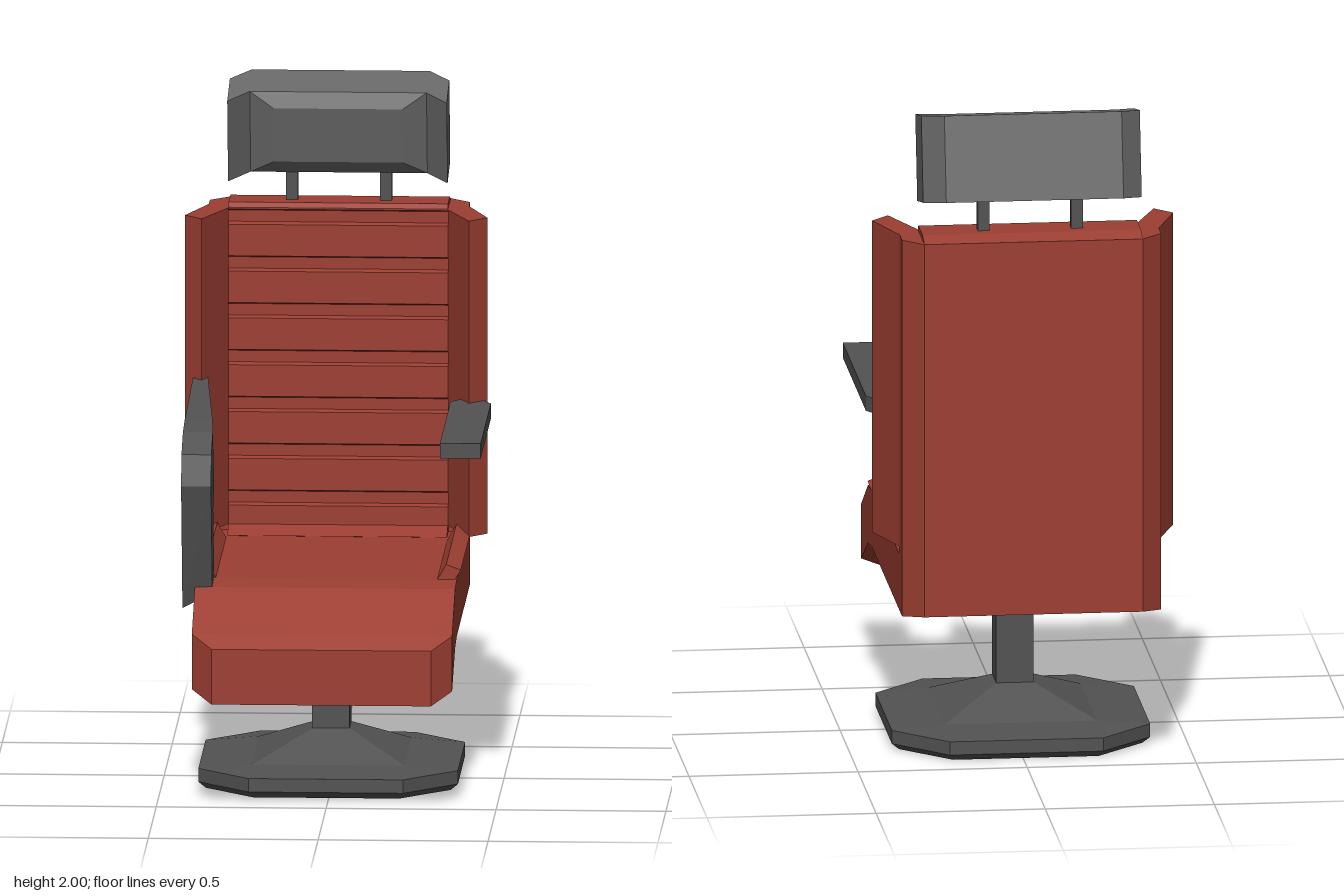
import * as THREE from 'three';

const red = new THREE.MeshStandardMaterial({ color: 0x9c3e32, flatShading: true });
const dark = new THREE.MeshStandardMaterial({ color: 0x525252, flatShading: true });
const grey = new THREE.MeshStandardMaterial({ color: 0x696969, flatShading: true });
const CX = -0.008; // centre line of the seat

function part(parent, name, geometry, material, x = 0, y = 0, z = 0) {
  const mesh = new THREE.Mesh(geometry, material);
  mesh.name = name;
  mesh.position.set(x, y, z);
  parent.add(mesh);
  return mesh;
}

// Joins convex rings of points, counter-clockwise as seen from the end of travel
function loft(rings) {
  const pos = [];
  const tri = (a, b, c) => pos.push(...a, ...b, ...c);
  const n = rings[0].length;
  for (let i = 0; i < rings.length - 1; i++) {
    for (let j = 0; j < n; j++) {
      const k = (j + 1) % n;
      const [a, b, c, d] = [rings[i][j], rings[i][k], rings[i + 1][k], rings[i + 1][j]];
      tri(a, b, c);
      tri(a, c, d);
    }
  }
  const first = rings[0], last = rings[rings.length - 1];
  for (let j = 1; j < n - 1; j++) {
    tri(first[0], first[j + 1], first[j]);
    tri(last[0], last[j], last[j + 1]);
  }
  const g = new THREE.BufferGeometry();
  g.setAttribute('position', new THREE.Float32BufferAttribute(pos, 3));
  g.computeVertexNormals();
  return g;
}

function extrude(points, depth) {
  const shape = new THREE.Shape(points.map(([x, y]) => new THREE.Vector2(x, y)));
  return new THREE.ExtrudeGeometry(shape, { depth, bevelEnabled: false });
}

// Upright prism over a plan outline of [x, z] points
const planPrism = (points, y0, y1) =>
  extrude(points.map(([x, z]) => [x, -z]), y1 - y0).rotateX(-Math.PI / 2).translate(0, y0, 0);

// Prism across x from a side outline of [z, y] points
const sidePrism = (points, width) =>
  extrude(points, width).rotateY(-Math.PI / 2).translate(width / 2, 0, 0);

const rect = (w, b, t, z) => [[-w, b, z], [w, b, z], [w, t, z], [-w, t, z]];

export function createModel() {
  const chair = new THREE.Group();
  chair.name = 'swivelArmchair';

  // Octagonal foot rising to a square column
  const octagon = (y, h, c) => [[c, h], [h, c], [h, -c], [c, -h], [-c, -h], [-h, -c], [-h, c], [-c, h]]
    .map(([x, z]) => [x, y, z]);
  part(chair, 'foot', loft([
    octagon(0, 0.36, 0.215), octagon(0.02, 0.382, 0.227), octagon(0.06, 0.382, 0.227),
  ]), dark, CX, 0, -0.025);
  part(chair, 'footTop', loft([
    octagon(0.06, 0.382, 0.227), octagon(0.073, 0.225, 0.224), octagon(0.152, 0.056, 0.055),
  ]), dark, CX, 0, -0.025);
  part(chair, 'column', new THREE.BoxGeometry(0.11, 0.35, 0.11), dark, CX, 0.315, -0.025);

  // Seat with sloping front lip and chamfered corners
  part(chair, 'seat', loft([
    rect(0.323, 0.49, 0.64, -0.605), rect(0.383, 0.48, 0.65, -0.545), rect(0.383, 0.48, 0.65, 0.3),
    rect(0.383, 0.465, 0.64, 0.4), rect(0.383, 0.37, 0.535, 0.59), rect(0.323, 0.335, 0.5, 0.645),
  ]), red, CX);

  // Back shell
  part(chair, 'backShell', planPrism([
    [-0.323, -0.605], [0.323, -0.605], [0.383, -0.545], [0.383, -0.46], [-0.383, -0.46], [-0.383, -0.545],
  ], 0.49, 1.62), red, CX);

  // Ribbed back cushion: flat pads parted by shallow grooves
  const ribs = [[-0.6, 0.6], [-0.355, 0.652], [-0.42, 0.675]];
  for (let i = 6; i >= 0; i--) {
    const y = 1.594 - i * 0.14;
    ribs.push([-0.42, y - 0.023], [-0.438, y - 0.017], [-0.438, y + 0.017], [-0.42, y + 0.023]);
  }
  ribs.push([-0.42, 1.622], [-0.435, 1.635], [-0.55, 1.635], [-0.6, 1.62]);
  part(chair, 'ribbedBackCushion', sidePrism(ribs, 0.646), red, CX);

  // Back wings and seat bolsters, one per side
  for (const s of [-1, 1]) {
    const side = s > 0 ? 'left' : 'right';
    const flip = (pts) => pts.map(([x, y]) => [s * x, y]);
    part(chair, side + 'BackWing', planPrism(flip([
      [0.323, -0.5], [0.383, -0.48], [0.445, -0.3], [0.393, -0.243], [0.323, -0.42],
    ]), 0.675, 1.62), red, CX);
    part(chair, side + 'SeatBolster', extrude(flip([
      [0.323, 0.645], [0.375, 0.645], [0.395, 0.678], [0.352, 0.695],
    ]), 0.64), red, CX, 0, -0.34);
  }

  // Headrest on two posts, tilted forward
  for (const s of [-1, 1]) {
    part(chair, 'headrestPost', new THREE.BoxGeometry(0.035, 0.18, 0.035), dark, CX + s * 0.138, 1.69, -0.498);
  }
  const headrest = new THREE.Group();
  headrest.name = 'headrest';
  headrest.position.set(CX, 1.853, -0.495);
  headrest.rotation.x = 0.215;
  chair.add(headrest);
  part(headrest, 'headrestShell', planPrism([
    [-0.262, -0.12], [0.262, -0.12], [0.323, -0.05], [0.323, 0.12], [0.26, 0.045],
    [-0.26, 0.045], [-0.323, 0.12], [-0.323, -0.05],
  ], -0.128, 0.128), grey);
  part(headrest, 'headrestPad', loft([
    rect(0.26, -0.128, 0.128, 0.04), rect(0.26, -0.128, 0.128, 0.045), rect(0.19, -0.085, 0.085, 0.07),
  ]), grey);

  // Plain left armrest
  part(chair, 'leftArmrest', planPrism([
    [0.33, 0.395], [0.45, 0.395], [0.45, -0.245], [0.415, -0.31], [0.36, -0.31], [0.33, -0.27],
  ], 1.03, 1.075), dark);

  // Looped right armrest: [front z, front y, rear z, rear y, inner x, inner-rear y, inner-front y]
  const stations = [
    [0.39, 0.575, 0.27, 0.575, -0.34, 0.625, 0.62],
    [0.475, 0.955, 0.335, 0.86, -0.34],
    [0.45, 1.045, 0.305, 0.897, -0.34],
    [0.36, 1.095, 0.278, 0.93, -0.34],
    [0.26, 1.11, 0.25, 0.955, -0.345],
    [-0.29, 1.14, -0.29, 0.955, -0.385, 1.08],
  ];
  part(chair, 'rightArmrest', loft(stations.map(([fz, fy, rz, ry, xi, riy = ry, fiy = fy]) => [
    [-0.428, fy, fz], [xi, fiy, fz], [xi, riy, rz], [-0.428, ry, rz],
  ])), dark);

  return chair;
}
